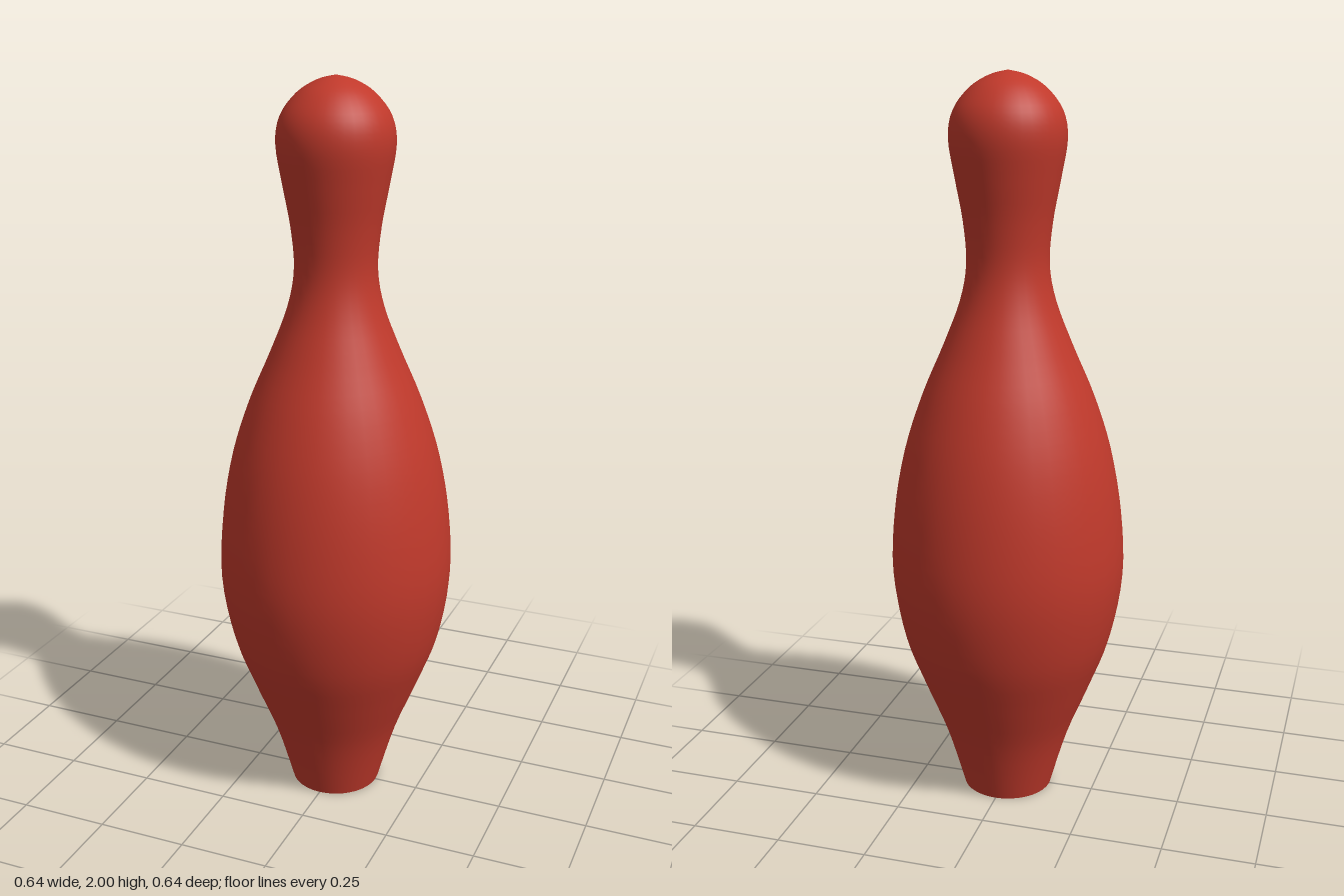
import * as THREE from 'three';

export function createModel() {
  const group = new THREE.Group();
  group.name = 'bowlingPin';
  const material = new THREE.MeshStandardMaterial({ color: 0xc0392b });
  const sides = 36;
  const baseRadius = 0.125;

  // Silhouette from the foot up to the slightly pointed crown
  const profile = new THREE.SplineCurve([
    [baseRadius, 0], [0.175, 0.17], [0.235, 0.32], [0.29, 0.47], [0.32, 0.65],
    [0.312, 0.83], [0.282, 1.0], [0.234, 1.15], [0.174, 1.29], [0.128, 1.41],
    [0.11, 1.51], [0.118, 1.62], [0.138, 1.73], [0.154, 1.83], [0.142, 1.9],
    [0.1, 1.956], [0.048, 1.988], [0, 2],
  ].map(([r, y]) => new THREE.Vector2(r, y)));
  const points = profile.getPoints(68);
  points.forEach((p) => { p.x = Math.max(p.x, 0); });

  const body = new THREE.Mesh(new THREE.LatheGeometry(points, sides), material);
  body.name = 'body';
  group.add(body);

  // Flat underside, facing down
  const base = new THREE.Mesh(new THREE.CircleGeometry(baseRadius, sides), material);
  base.name = 'base';
  base.rotation.x = Math.PI / 2;
  group.add(base);

  return group;
}
